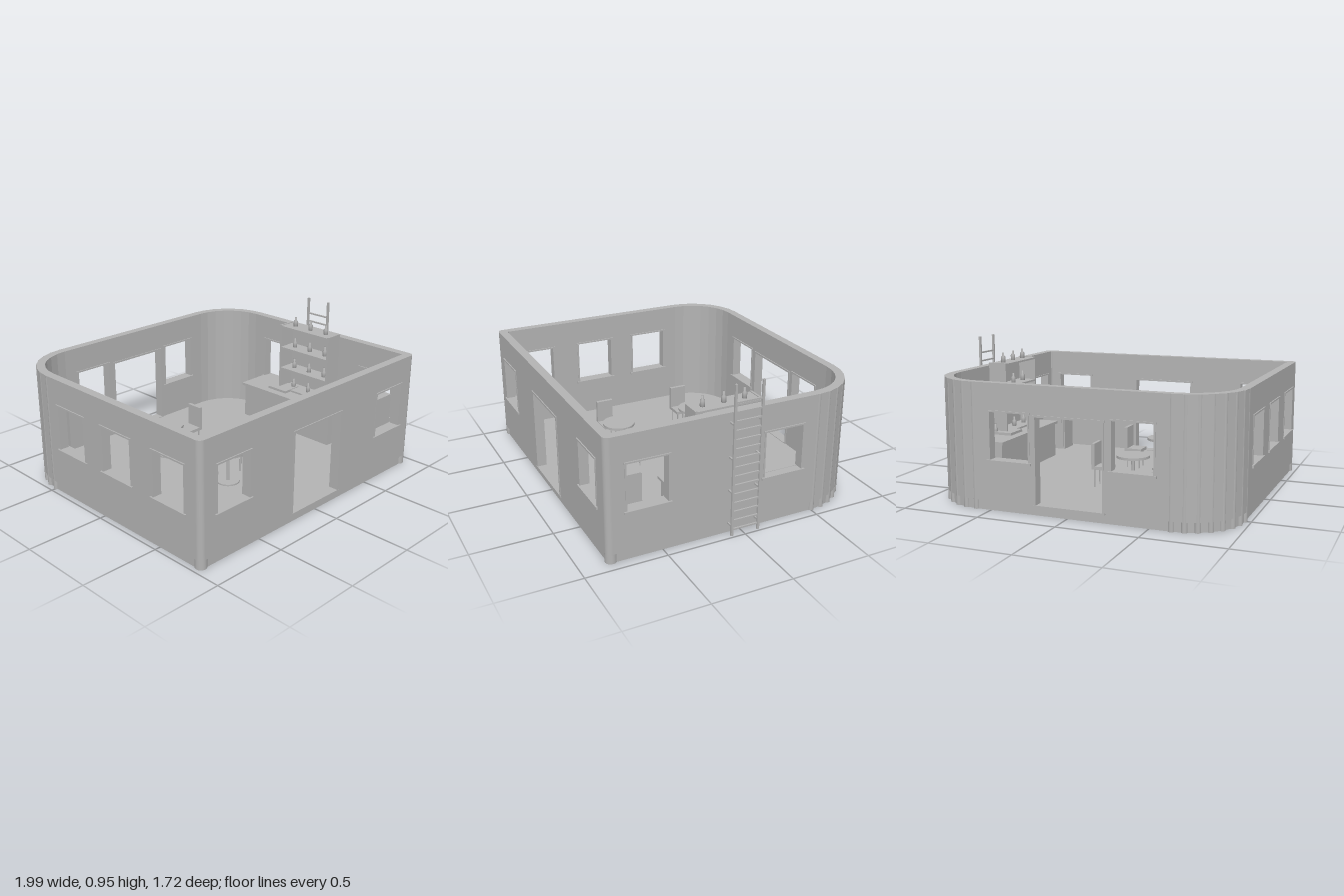
import * as THREE from 'three';

export function createModel() {
  const model = new THREE.Group();
  const grey = new THREE.MeshStandardMaterial({ color: 0xb3b3b3 });

  const add = (parent, name, geometry, x = 0, y = 0, z = 0) => {
    const mesh = new THREE.Mesh(geometry, grey);
    mesh.name = name;
    mesh.position.set(x, y, z);
    parent.add(mesh);
    return mesh;
  };
  // box given by its two extreme corners
  const box = (parent, name, x0, x1, y0, y1, z0, z1) =>
    add(parent, name, new THREE.BoxGeometry(x1 - x0, y1 - y0, z1 - z0),
      (x0 + x1) / 2, (y0 + y1) / 2, (z0 + z1) / 2);
  const rod = (parent, name, r, y0, y1, x, z, sides = 12) =>
    add(parent, name, new THREE.CylinderGeometry(r, r, y1 - y0, sides), x, (y0 + y1) / 2, z);
  const group = (name, parent = model) => {
    const g = new THREE.Group();
    g.name = name;
    parent.add(g);
    return g;
  };

  // overall sizes
  const L = -0.975, R = 0.945, F = 0.845, B = -0.85, T = 0.055;
  const floorY = 0.06, topY = 0.77, radius = 0.345, steps = 7;
  const cz = B + radius, cxL = L + radius, cxR = R - radius;
  const windowLow = 0.31, windowHigh = 0.6, windowWidth = 0.25, doorHigh = 0.585;
  const doorL = -0.225, doorR = 0.193;

  // horizontal slab from x,z points
  const prism = (name, points, y0, y1) => {
    const g = new THREE.ExtrudeGeometry(new THREE.Shape(points), { depth: y1 - y0, bevelEnabled: false });
    g.rotateX(Math.PI / 2);
    return add(model, name, g, 0, y1, 0);
  };
  const arc = (cx, side, r) => Array.from({ length: steps + 1 }, (_, i) => {
    const a = (i / steps) * Math.PI / 2;
    return new THREE.Vector2(cx + side * Math.cos(a) * r, cz - Math.sin(a) * r);
  });

  // floor slab, slightly inset below the walls
  const inset = 0.012;
  prism('floor', [
    new THREE.Vector2(L + inset, F - inset), new THREE.Vector2(R - inset, F - inset),
    ...arc(cxR, 1, radius - inset), ...arc(cxL, -1, radius - inset).reverse(),
  ], 0, floorY);

  // straight wall with window holes, optional door, sills and frames
  function wall(name, u0, u1, windows, door) {
    const g = group(name);
    const s = new THREE.Shape();
    s.moveTo(u0, floorY);
    if (door) {
      s.lineTo(doorL, floorY);
      s.lineTo(doorL, doorHigh);
      s.lineTo(doorR, doorHigh);
      s.lineTo(doorR, floorY);
    }
    s.lineTo(u1, floorY);
    s.lineTo(u1, topY);
    s.lineTo(u0, topY);
    s.closePath();
    for (const u of windows) {
      const a = u - windowWidth / 2, b = u + windowWidth / 2;
      const h = new THREE.Path();
      h.moveTo(a, windowLow);
      h.lineTo(a, windowHigh);
      h.lineTo(b, windowHigh);
      h.lineTo(b, windowLow);
      h.closePath();
      s.holes.push(h);
      box(g, 'windowSill', a - 0.02, b + 0.02, 0.295, 0.311, -0.012, T + 0.012);
      box(g, 'windowHeader', a - 0.015, b + 0.015, windowHigh - 0.002, windowHigh + 0.008, -0.007, T + 0.007);
      for (const [p, q] of [[a - 0.01, a], [b, b + 0.01]])
        box(g, 'windowJamb', p, q, windowLow, windowHigh, -0.003, T + 0.003);
    }
    if (door) {
      box(g, 'doorThreshold', doorL - 0.015, doorR + 0.015, floorY - 0.008, floorY + 0.004, -0.006, T + 0.006);
      box(g, 'doorHeader', doorL - 0.015, doorR + 0.015, doorHigh, doorHigh + 0.012, -0.006, T + 0.006);
      for (const [p, q] of [[doorL - 0.012, doorL], [doorR, doorR + 0.012]])
        box(g, 'doorJamb', p, q, floorY, doorHigh, -0.004, T + 0.004);
    }
    add(g, 'wallPanel', new THREE.ExtrudeGeometry(s, { depth: T, bevelEnabled: false }));
    return g;
  }
  wall('frontWall', L + 0.035, R - 0.035, [-0.722, 0.688], true).position.z = F - T;
  wall('backWall', cxL, cxR, [-0.405, 0.365], true).position.z = B;
  const leftSide = wall('leftSideWall', cz, F - 0.035, [-0.275, 0.15, 0.595], false);
  const rightSide = wall('rightSideWall', cz, F - 0.035, [-0.275, 0.595], false);
  leftSide.rotation.y = rightSide.rotation.y = -Math.PI / 2;
  leftSide.position.x = L + T;
  rightSide.position.x = R;

  // faceted back corners with slim posts, round front corner posts
  for (const [cx, side] of [[cxL, -1], [cxR, 1]]) {
    prism('curvedWall', [...arc(cx, side, radius), ...arc(cx, side, radius - T).reverse()], floorY, topY);
    for (const p of arc(cx, side, radius - 0.016)) rod(model, 'curvePost', 0.018, 0, topY, p.x, p.y);
    rod(model, 'cornerPost', 0.035, 0, topY, side < 0 ? L + 0.035 : R - 0.035, F - 0.035, 20);
  }

  // two round tables, each with a facing pair of chairs
  for (const z of [-0.285, 0.28]) {
    const table = group('table');
    rod(table, 'tableTop', 0.105, 0.264, 0.28, -0.195, z, 32);
    rod(table, 'tableStem', 0.01, 0.07, 0.264, -0.195, z);
    rod(table, 'tableBase', 0.075, floorY, 0.07, -0.195, z, 24);
    for (const side of [-1, 1]) {
      const chair = group('chair');
      chair.position.set(-0.195 + side * 0.2, 0, z);
      box(chair, 'seat', -0.06, 0.06, 0.175, 0.195, -0.056, 0.056);
      const bx = side * 0.049;
      box(chair, 'chairBack', bx - 0.011, bx + 0.011, 0.195, 0.34, -0.056, 0.056);
      for (const x of [-0.043, 0.043])
        for (const w of [-0.042, 0.042]) rod(chair, 'chairLeg', 0.005, floorY, 0.175, x, w, 8);
    }
  }

  // serving counter
  const counter = group('counter');
  box(counter, 'counterBody', 0.67, 0.89, floorY, 0.295, -0.395, 0.385);
  box(counter, 'counterTop', 0.655, 0.9, 0.295, 0.313, -0.41, 0.4);
  box(counter, 'counterTray', 0.71, 0.855, 0.313, 0.33, -0.2, -0.04);

  // bottle shelf standing on the counter
  const bottleProfile = [[0, 0], [0.015, 0], [0.015, 0.036], [0.007, 0.045], [0.007, 0.065], [0, 0.065]]
    .map(([x, y]) => new THREE.Vector2(x, y));
  const bottleShape = new THREE.LatheGeometry(bottleProfile, 12);
  const shelf = group('bottleShelf');
  for (const z of [-0.145, 0.275]) box(shelf, 'shelfSide', 0.765, 0.89, 0.313, 0.79, z - 0.006, z + 0.006);
  for (const y of [0.785, 0.63, 0.475, 0.325]) {
    box(shelf, 'shelfBoard', 0.765, 0.89, y - 0.012, y, -0.145, 0.28);
    for (const z of [-0.065, 0.07, 0.205]) add(shelf, 'bottle', bottleShape, 0.83, y, z);
  }
  add(counter, 'bottle', bottleShape, 0.84, 0.315, -0.175);

  // upright cabinet with door, vents and handle facing the back
  const cabinet = group('cabinet');
  box(cabinet, 'cabinetBody', 0.695, 0.87, floorY, 0.485, 0.6, 0.74);
  box(cabinet, 'cabinetDoor', 0.702, 0.863, 0.08, 0.475, 0.593, 0.6);
  for (let i = 0; i < 5; i++) box(cabinet, 'vent', 0.74, 0.83, 0.385 + i * 0.015, 0.391 + i * 0.015, 0.586, 0.594);
  box(cabinet, 'cabinetHandle', 0.715, 0.723, 0.26, 0.32, 0.584, 0.594);

  // outside ladder
  const ladder = group('ladder');
  for (const z of [-0.087, 0.088]) {
    box(ladder, 'ladderRail', 0.985, 0.999, 0.01, 0.955, z - 0.007, z + 0.007);
    for (const y of [0.07, 0.285, 0.495, 0.71])
      box(ladder, 'ladderBracket', R - 0.005, 0.99, y - 0.005, y + 0.005, z - 0.005, z + 0.005);
  }
  for (let i = 0; i < 15; i++) {
    const y = 0.05 + i * 0.0568;
    box(ladder, 'ladderRung', 0.987, 0.997, y - 0.005, y + 0.005, -0.087, 0.088);
  }

  return model;
}
